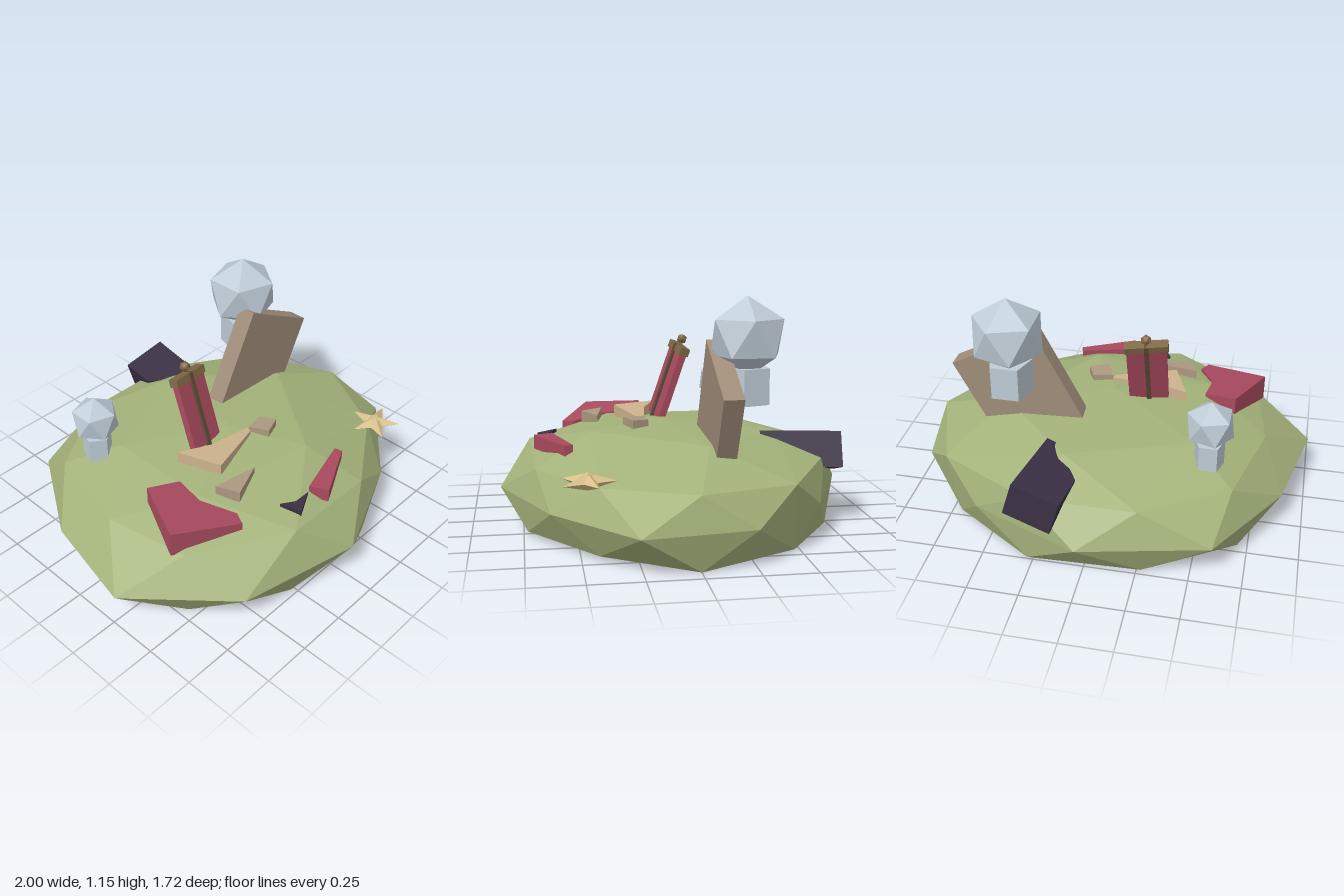
import * as THREE from 'three';
import { ConvexGeometry } from 'three/addons/geometries/ConvexGeometry.js';

const COLORS = {
  grass: 0xa3b27a, stone: 0xbfccd6, slab: 0xa08d7a, red: 0xa84a5e, dark: 0x3a3044,
  tan: 0xcdb28c, taupe: 0xab9880, wood: 0x806845, pole: 0x5e4c38, gold: 0xd8c08a,
};
const materials = {};
for (const key in COLORS) {
  materials[key] = new THREE.MeshStandardMaterial({ color: COLORS[key], flatShading: true });
}

function add(parent, name, geometry, mat, x = 0, y = 0, z = 0) {
  const mesh = new THREE.Mesh(geometry, materials[mat]);
  mesh.name = name;
  mesh.position.set(x, y, z);
  parent.add(mesh);
  return mesh;
}

// Icosahedron standing on one vertex
function uprightIcosahedron(r) {
  return new THREE.IcosahedronGeometry(r, 0).rotateZ(Math.atan(2 / (1 + Math.sqrt(5)))).rotateY(Math.PI);
}

// Slab fragment: [x, z] outline, top surface on a sloping plane, base shifted by dx
function shard(parent, name, mat, outline, { top, slopeX = 0, slopeZ = 0, depth, dx = 0 }) {
  const shape = new THREE.Shape(outline.map(([x, z]) => new THREE.Vector2(x, -z)));
  const geo = new THREE.ExtrudeGeometry(shape, { depth, bevelEnabled: false }).rotateX(-Math.PI / 2);
  const [x0, z0] = outline[0];
  const p = geo.attributes.position;
  for (let i = 0; i < p.count; i++) {
    const x = p.getX(i), y = p.getY(i), z = p.getZ(i);
    p.setX(i, x + dx * (1 - y / depth));
    p.setY(i, top - depth + y + slopeX * (x - x0) + slopeZ * (z - z0));
  }
  geo.computeVertexNormals();
  return add(parent, name, geo, mat);
}

// Double-sided pyramid star lying flat
function starGeometry(outer, inner, height) {
  const rim = [], verts = [];
  for (let i = 0; i < 10; i++) {
    const a = (i * Math.PI) / 5, r = i % 2 ? inner : outer;
    rim.push([Math.sin(a) * r, 0, -Math.cos(a) * r]);
  }
  rim.forEach((a, i) => {
    const b = rim[(i + 1) % 10];
    verts.push(...b, ...a, 0, height, 0, ...a, ...b, 0, -height, 0);
  });
  const geo = new THREE.BufferGeometry();
  geo.setAttribute('position', new THREE.Float32BufferAttribute(verts, 3));
  geo.computeVertexNormals();
  return geo;
}

export function createModel() {
  const model = new THREE.Group();
  model.name = 'ruinedMound';

  // Faceted mound: foot, widest ring, shoulder, crown and summit
  const mound = [
    [-0.85, 0.03, 0], [-0.7, 0, 0.45], [-0.27, 0, 0.72], [0.28, 0.02, 0.73], [0.7, 0.02, 0.42],
    [0.92, 0, 0], [0.7, 0.01, -0.47], [0.28, 0, -0.74], [-0.27, 0, -0.72], [-0.7, 0, -0.45],
    [-1, 0.18, 0.27], [-0.6, 0.18, 0.72], [0.02, 0.18, 0.86], [0.56, 0.18, 0.63], [1, 0.18, 0.27],
    [0.93, 0.18, -0.25], [0.56, 0.18, -0.63], [0.02, 0.18, -0.86], [-0.6, 0.18, -0.72], [-0.89, 0.18, -0.25],
    [0.92, 0.34, 0], [0.7, 0.33, 0.42], [0.29, 0.33, 0.69], [-0.24, 0.37, 0.71], [-0.7, 0.35, 0.43],
    [-0.78, 0.35, 0], [-0.66, 0.35, -0.48], [-0.25, 0.35, -0.73], [0.28, 0.35, -0.73], [0.76, 0.33, -0.46],
    [0.55, 0.47, -0.1], [0.17, 0.48, 0.42], [-0.45, 0.455, 0.28], [-0.45, 0.455, -0.28], [0.15, 0.46, -0.5],
    [0, 0.505, 0.05],
  ].map((p) => new THREE.Vector3(...p));
  add(model, 'mound', new ConvexGeometry(mound), 'grass');

  // Stone heads on five-sided necks
  for (const [name, x, y, z, r, neckR, neckTop, neckBottom] of [
    ['large', 0.46, 0.96, -0.29, 0.19, 0.115, 0.82, 0.65],
    ['small', -0.53, 0.625, -0.36, 0.125, 0.075, 0.53, 0.4],
  ]) {
    add(model, name + 'StoneHead', uprightIcosahedron(r), 'stone', x, y, z);
    add(model, name + 'StoneNeck', new THREE.CylinderGeometry(neckR, neckR, neckTop - neckBottom, 5),
      'stone', x, (neckTop + neckBottom) / 2, z);
  }

  // Leaning slab sunk into the ground
  add(model, 'leaningSlab', new THREE.BoxGeometry(0.475, 0.54, 0.095), 'slab', 0.445, 0.59, -0.165)
    .rotation.z = -0.48;

  // Banner leaning backwards
  const banner = new THREE.Group();
  banner.name = 'banner';
  banner.position.set(-0.17, 0.5, 0.045);
  banner.rotation.set(-0.33, 0.15, 0);
  model.add(banner);
  add(banner, 'bannerCloth', new THREE.BoxGeometry(0.2, 0.36, 0.035), 'red', 0, 0.17, 0);
  add(banner, 'bannerPole', new THREE.BoxGeometry(0.022, 0.42, 0.06), 'pole', 0, 0.17, 0);
  add(banner, 'bannerCrossbar', new THREE.BoxGeometry(0.215, 0.04, 0.05), 'wood', 0, 0.36, 0)
    .rotation.z = -0.06;
  add(banner, 'bannerKnob', new THREE.IcosahedronGeometry(0.028, 0), 'wood', 0, 0.41, 0);

  // Broken fragments scattered on the mound
  shard(model, 'largeRedFragment', 'red',
    [[-0.61, 0.09], [-0.45, 0.15], [-0.47, 0.3], [-0.39, 0.47], [-0.42, 0.53], [-0.74, 0.38]],
    { top: 0.495, slopeX: -0.1, slopeZ: -0.12, depth: 0.13 });
  shard(model, 'largeDarkFragment', 'dark',
    [[0.32, -0.8], [0.09, -0.83], [0.06, -0.63], [0.2, -0.42], [0.25, -0.41]],
    { top: 0.475, slopeX: 0.27, slopeZ: 0.05, depth: 0.17, dx: 0.05 });
  shard(model, 'longTanFragment', 'tan',
    [[-0.36, 0.04], [-0.2, 0.11], [0.04, 0.14], [0.03, 0.17], [-0.28, 0.26]],
    { top: 0.535, slopeX: -0.05, depth: 0.06 });
  shard(model, 'smallTaupeFragment', 'taupe',
    [[0.04, 0.15], [0.14, 0.13], [0.18, 0.21], [0.08, 0.25]],
    { top: 0.525, slopeZ: 0.06, depth: 0.05 });
  shard(model, 'pointedTaupeFragment', 'taupe',
    [[-0.38, 0.32], [-0.15, 0.36], [-0.33, 0.43]],
    { top: 0.5, slopeZ: -0.06, depth: 0.06 });
  shard(model, 'smallRedFragment', 'red',
    [[-0.02, 0.6], [0.29, 0.51], [0.3, 0.55], [0.02, 0.69]],
    { top: 0.44, depth: 0.07 });
  shard(model, 'smallDarkFragment', 'dark',
    [[-0.2, 0.57], [-0.13, 0.61], [-0.04, 0.61], [-0.16, 0.67]],
    { top: 0.425, slopeZ: -0.1, depth: 0.05 });

  // Golden star with a gem at its heart
  const star = new THREE.Group();
  star.name = 'star';
  star.position.set(0.69, 0.36, 0.47);
  model.add(star);
  add(star, 'starBody', starGeometry(0.135, 0.055, 0.04), 'gold');
  add(star, 'starGem', new THREE.IcosahedronGeometry(0.035, 0), 'gold', 0, 0.01, 0);

  return model;
}
